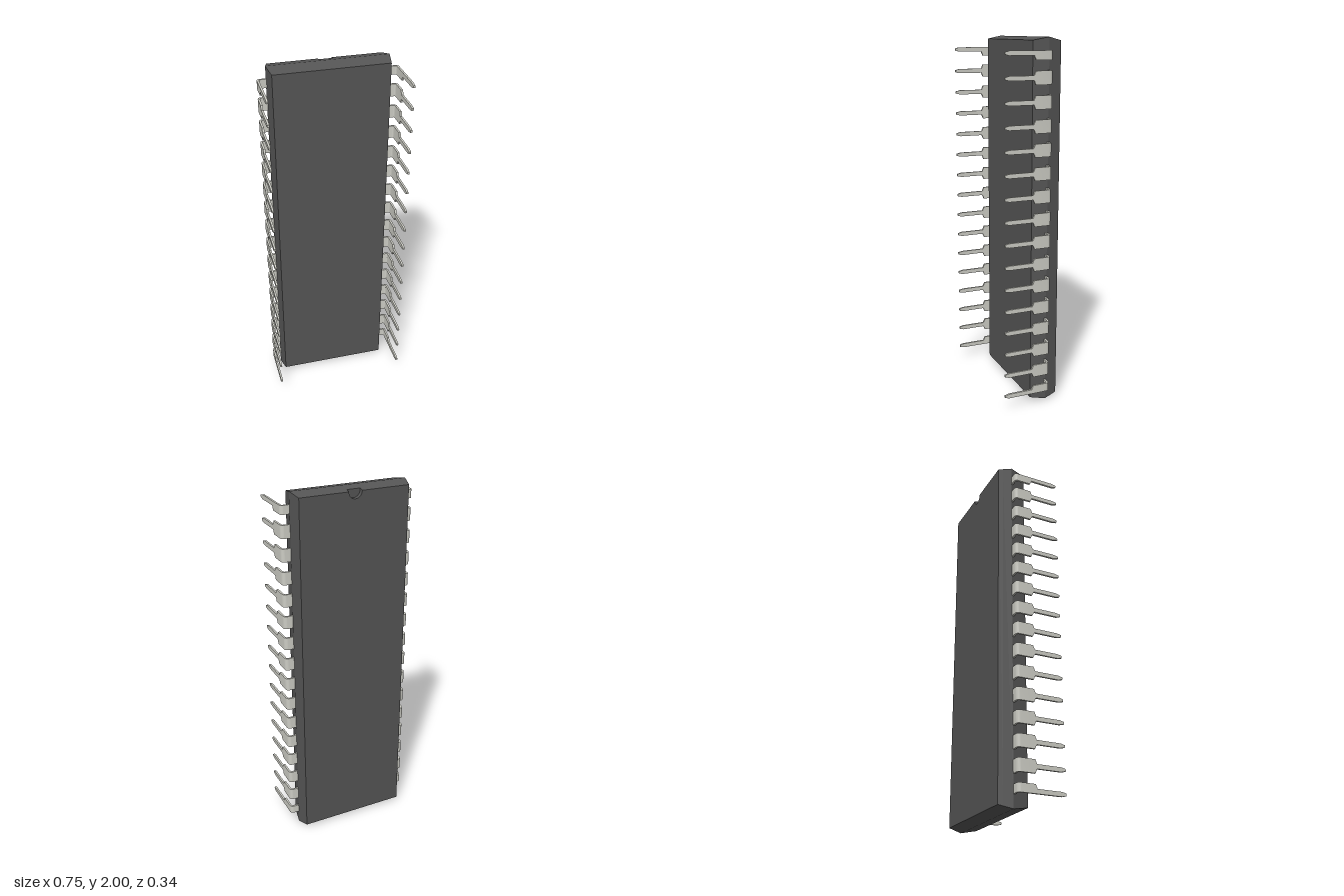
import * as THREE from 'three';
import { toCreasedNormals } from 'three/addons/utils/BufferGeometryUtils.js';

// Skin a list of equal-length rings (arrays of [x, y, z]) and cap both ends
function loft(rings, cap = [[0, 1, 2], [0, 2, 3]]) {
  const n = rings[0].length, last = (rings.length - 1) * n, index = [];
  for (let s = 0; s < rings.length - 1; s++) {
    for (let i = 0; i < n; i++) {
      const j = (i + 1) % n, a = s * n, b = a + n;
      index.push(a + i, a + j, b + j, a + i, b + j, b + i);
    }
  }
  for (const [a, b, c] of cap) index.push(a, c, b, last + a, last + b, last + c);
  const g = new THREE.BufferGeometry();
  g.setAttribute('position', new THREE.Float32BufferAttribute(rings.flat(2), 3));
  g.setIndex(index);
  return toCreasedNormals(g, 0.3);
}

// Rectangle of the package at depth z: half width w, inset at top and bottom
const rect = (w, inset, z) => [[-w, inset, z], [w, inset, z], [w, 2 - inset, z], [-w, 2 - inset, z]];

// Same rectangle with a half-round notch cut into its top edge
function notched(w, inset, z, r = 0.037, cy = 1.98) {
  const top = 2 - inset, pts = [[-w, inset, z], [w, inset, z], [w, top, z], [r, top, z]];
  for (let i = 0; i <= 16; i++) {
    const a = -Math.PI * i / 16;
    pts.push([r * Math.cos(a), cy + r * Math.sin(a), z]);
  }
  pts.push([-r, top, z], [-w, top, z]);
  return pts;
}

// Bent pin: wide shoulder out of the body, round bend, narrow leg, tapered tip
function pinGeometry(down, up) {
  const t = 0.0055, leg = 0.012, xc = 0.3685, zc = -0.0905, r = 0.0125;
  const rings = [];
  const section = (x, z, a, lo, hi) => {
    const nx = Math.sin(a) * t, nz = -Math.cos(a) * t;
    rings.push([[x + nx, -lo, z + nz], [x + nx, hi, z + nz], [x - nx, hi, z - nz], [x - nx, -lo, z - nz]]);
  };
  section(0.3, zc, 0, down, up);
  for (let i = 0; i <= 6; i++) {
    const a = i / 6 * Math.PI / 2;
    section(xc - r + r * Math.sin(a), zc + r - r * Math.cos(a), a, down, up);
  }
  const q = Math.PI / 2;
  section(xc, 0, q, down, up);
  section(xc, 0.01, q, leg, leg);
  section(xc, 0.145, q, leg, leg);
  section(xc, 0.169, q, 0.006, 0.006);
  return loft(rings);
}

export function createModel() {
  const model = new THREE.Group();
  model.name = 'chipPackage';
  const plastic = new THREE.MeshStandardMaterial({ color: 0x555555 });
  const metal = new THREE.MeshStandardMaterial({ color: 0xccccc4 });
  const add = (parent, name, geometry, material) => {
    const mesh = new THREE.Mesh(geometry, material);
    mesh.name = name;
    parent.add(mesh);
    return mesh;
  };

  // Body: bevelled both ways from the parting line, up to the notch floor
  add(model, 'body', loft([
    rect(0.3123, 0.012, -0.145),
    rect(0.325, 0, -0.095),
    rect(0.309, 0.016, -0.01),
  ]), plastic);

  // Back layer with the orientation notch
  const back = notched(0.306, 0.018, -0.17), floor = notched(0.3123, 0.012, -0.145);
  const cap = THREE.ShapeUtils.triangulateShape(back.map(([x, y]) => new THREE.Vector2(x, y)), []);
  add(model, 'notchedBack', loft([back, floor], cap), plastic);

  // Two rows of 16 pins; the end pins have a shoulder on the inner side only
  const middle = pinGeometry(0.035, 0.035);
  const bottom = pinGeometry(0.012, 0.035);
  const top = pinGeometry(0.035, 0.012);
  const count = 16, pitch = 0.1226, centre = 1.0035;
  for (const side of ['left', 'right']) {
    const row = new THREE.Group();
    row.name = side + 'PinRow';
    row.position.y = centre;
    if (side === 'right') row.rotation.z = Math.PI;
    for (let i = 0; i < count; i++) {
      const g = i === 0 ? bottom : i === count - 1 ? top : middle;
      add(row, 'pin', g, metal).position.y = (i - (count - 1) / 2) * pitch;
    }
    model.add(row);
  }
  return model;
}
